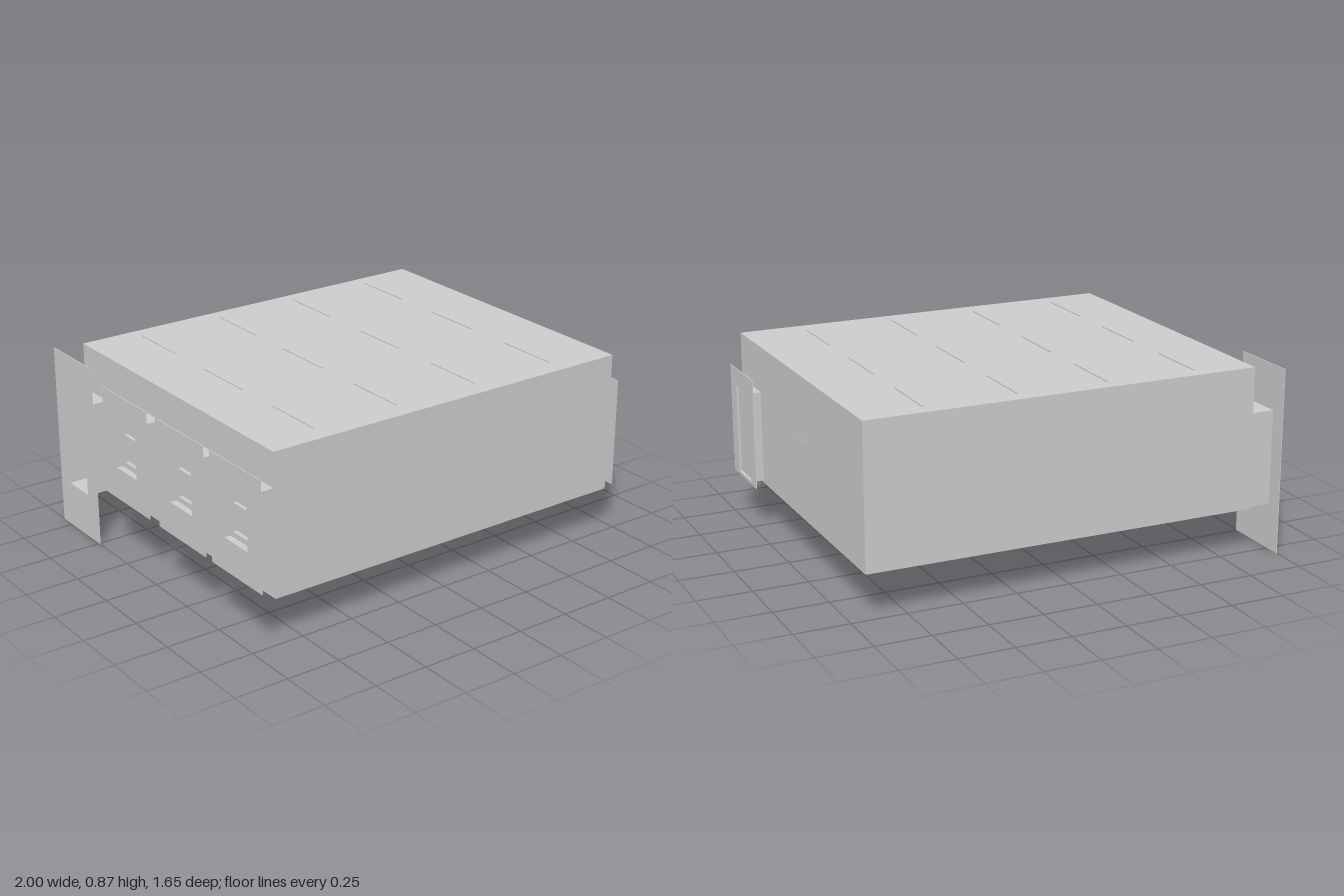
import * as THREE from 'three';

export function createModel() {
  const model = new THREE.Group();
  const grey = new THREE.MeshStandardMaterial({ color: 0xcccccc });
  grey.name = 'plainGrey';

  const add = (name, geometry, parent = model) => {
    const mesh = new THREE.Mesh(geometry, grey);
    mesh.name = name;
    parent.add(mesh);
    return mesh;
  };

  // box given by its limits on each axis
  const box = (name, [x0, x1], [y0, y1], [z0, z1], parent) =>
    add(name, new THREE.BoxGeometry(x1 - x0, y1 - y0, z1 - z0), parent)
      .position.set((x0 + x1) / 2, (y0 + y1) / 2, (z0 + z1) / 2);

  const corners = ([z0, z1], [y0, y1]) =>
    [[z0, y0], [z1, y0], [z1, y1], [z0, y1]].map(([z, y]) => new THREE.Vector2(z, y));

  // rectangular frame in the z-y plane, running from x0 to x1
  const frame = (name, [x0, x1], outerZ, outerY, innerZ, innerY, parent) => {
    const shape = new THREE.Shape(corners(outerZ, outerY));
    shape.holes.push(new THREE.Path(corners(innerZ, innerY)));
    const geometry = new THREE.ExtrudeGeometry(shape, { depth: x1 - x0, bevelEnabled: false });
    geometry.rotateY(-Math.PI / 2);
    add(name, geometry, parent).position.x = x1;
  };

  const group = (name) => {
    const g = new THREE.Group();
    g.name = name;
    model.add(g);
    return g;
  };

  // main room
  box('roomShell', [-0.88, 0.94], [0.21, 0.86], [-0.77, 0.745]);

  // ceiling light strips
  for (const x of [-0.615, -0.195, 0.225, 0.65])
    for (const z of [0.5, -0.025, -0.55])
      box('ceilingStrip', [x - 0.003, x + 0.003], [0.855, 0.865], [z - 0.148, z + 0.148]);

  // three windows on the right wall
  for (const z of [0.645, 0.23, -0.215]) {
    const g = group('window');
    const span = (half) => [z - half, z + half];
    frame('windowWallPlate', [-1, -0.996], span(0.183), [0.3, 0.8], span(0.085), [0.45, 0.69], g);
    frame('windowReveal', [-0.997, -0.94], span(0.088), [0.447, 0.693], span(0.085), [0.45, 0.69], g);
    box('windowCasing', [-0.94, -0.87], [0.425, 0.703], span(0.098), g);
    frame('windowSash', [-0.97, -0.94], span(0.085), [0.45, 0.69], span(0.062), [0.475, 0.665], g);
    box('windowCrossbar', [-0.968, -0.94], [0.59, 0.605], span(0.064), g);
    box('windowPane', [-0.952, -0.94], [0.47, 0.67], span(0.066), g);
  }

  // open doorway at the back of the right wall
  const doorway = group('openDoorway');
  frame('doorwayPlate', [-1, -0.996], [-0.825, -0.493], [0, 0.85], [-0.745, -0.58], [0.213, 0.64], doorway);
  frame('doorwayPassage', [-0.997, -0.875], [-0.75, -0.577], [0.21, 0.645], [-0.745, -0.58], [0.213, 0.64], doorway);

  // closed door at the front of the left wall
  const door = group('closedDoor');
  frame('doorWallPlate', [0.996, 1], [0.42, 0.73], [0.21, 0.72], [0.488, 0.657], [0.225, 0.64], door);
  box('doorPanel', [0.93, 0.988], [0.225, 0.64], [0.488, 0.657], door);
  frame('doorReveal', [0.935, 0.998], [0.485, 0.66], [0.222, 0.643], [0.488, 0.657], [0.225, 0.64], door);

  // row of small pegs on the left wall
  for (let i = 0; i < 8; i++) {
    const z = 0.03 - i * 0.024;
    box('wallPeg', [0.935, 0.942], [0.575, 0.581], [z - 0.005, z + 0.005]);
  }

  // rim under the floor
  const rim = new THREE.Shape();
  rim.moveTo(-0.12, -0.08).lineTo(0.12, -0.08).quadraticCurveTo(0.145, -0.08, 0.145, -0.055)
    .lineTo(0.145, 0.055).quadraticCurveTo(0.145, 0.08, 0.12, 0.08)
    .lineTo(-0.12, 0.08).quadraticCurveTo(-0.145, 0.08, -0.145, 0.055)
    .lineTo(-0.145, -0.055).quadraticCurveTo(-0.145, -0.08, -0.12, -0.08);
  rim.holes.push(new THREE.Path(corners([-0.125, 0.125], [-0.062, 0.062])));
  const rimGeometry = new THREE.ExtrudeGeometry(rim, { depth: 0.015, bevelEnabled: false, curveSegments: 4 });
  rimGeometry.rotateX(Math.PI / 2);
  add('floorRim', rimGeometry).position.set(0, 0.213, -0.005);

  // furniture feet showing below the floor
  for (const z of [0.0, -0.4])
    for (const x of [-0.85, -0.74, -0.63])
      add('furnitureFoot', new THREE.CylinderGeometry(0.01, 0.01, 0.01, 8))
        .position.set(x, 0.209, z + (x + 0.74) * -0.8);

  // thin floor slats in three sets
  for (const z of [-0.35, 0.02, 0.42])
    for (const dz of [-0.07, 0.07])
      box('floorSlat', [0.38, 0.56], [0.208, 0.212], [z + dz - 0.003, z + dz + 0.003]);

  return model;
}
